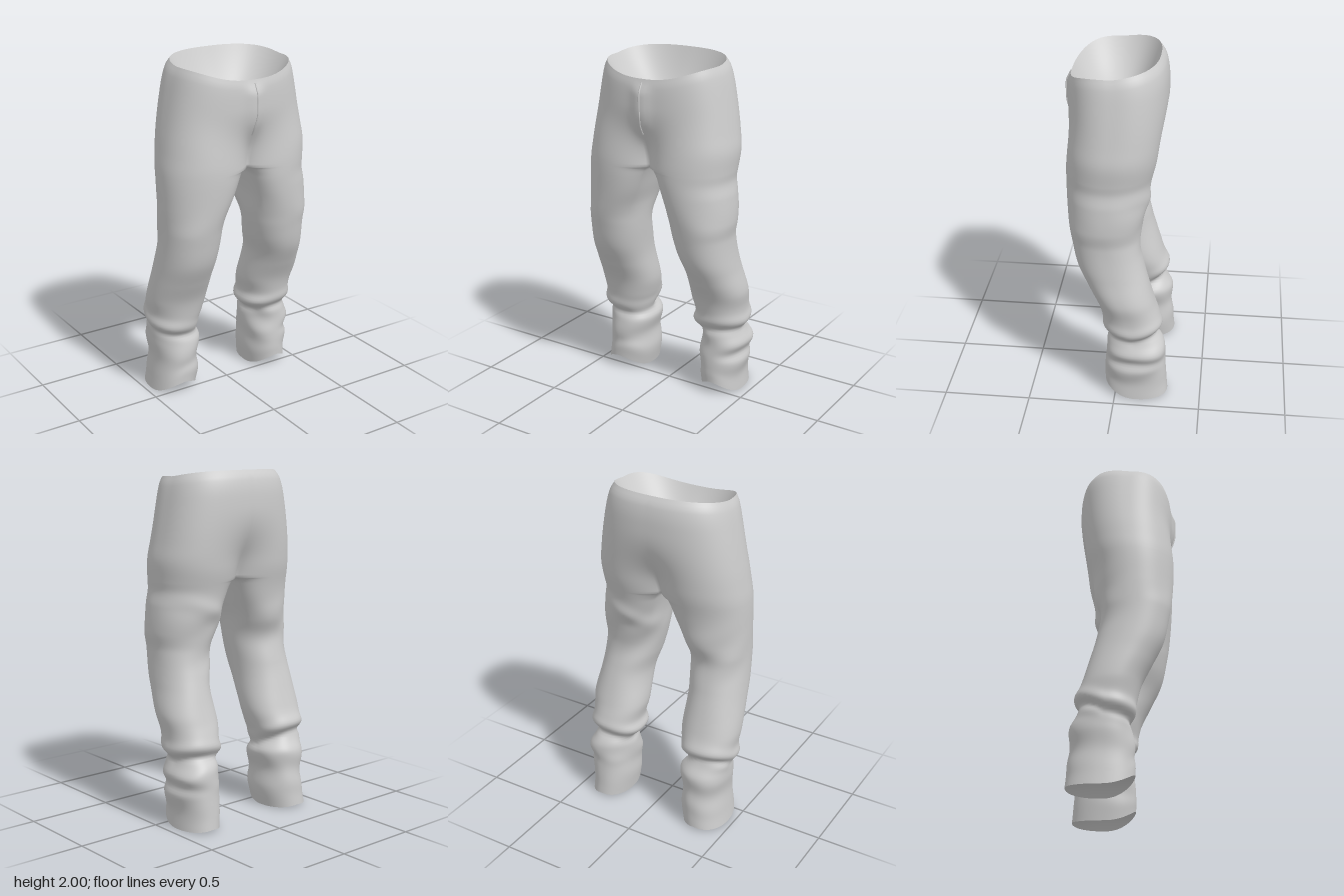
import * as THREE from 'three';
import { mergeVertices } from 'three/addons/utils/BufferGeometryUtils.js';

const CROTCH = 1.39, OUT = 64, IN = 20, SPAN = (141 * Math.PI) / 180;

// Height keys: depth [y, front z, back z] and side outlines [y, x]
const DEPTH = [[1.95, 0.272, -0.214], [1.91, 0.282, -0.242], [1.82, 0.287, -0.26], [1.66, 0.287, -0.257], [1.48, 0.287, -0.222],
  [1.32, 0.287, -0.183], [1.13, 0.272, -0.155], [1, 0.252, -0.128], [0.86, 0.22, -0.155], [0.73, 0.158, -0.19], [0.61, 0.1, -0.225],
  [0.5, 0.072, -0.258], [0.42, 0.055, -0.25], [0.34, 0.05, -0.285], [0.22, 0.06, -0.29], [0.08, 0.064, -0.3], [0.015, 0.062, -0.306]];
const HIPS = [[1.95, 0.338], [1.91, 0.359], [1.8, 0.387], [1.6, 0.428], [1.5, 0.444]];
const OUTER = {
  left: [...HIPS, [1.39, 0.437], [1.33, 0.432], [1.25, 0.447], [1.1, 0.456], [1, 0.443], [0.8, 0.458], [0.65, 0.48], [0.55, 0.467],
    [0.45, 0.462], [0.38, 0.448], [0.31, 0.477], [0.25, 0.447], [0.2, 0.459], [0.1, 0.442], [0.015, 0.445]],
  right: [...HIPS, [1.39, 0.458], [1.2, 0.46], [1, 0.459], [0.8, 0.47], [0.6, 0.484], [0.5, 0.474], [0.42, 0.474], [0.37, 0.457],
    [0.3, 0.455], [0.2, 0.445], [0.1, 0.455], [0.015, 0.465]],
};
const INNER = {
  left: [[1.39, 0], [1.385, 0.018], [1.36, 0.04], [1.33, 0.055], [1.21, 0.08], [1.08, 0.092], [0.92, 0.125], [0.79, 0.158],
    [0.6, 0.15], [0.5, 0.168], [0.44, 0.16], [0.36, 0.198], [0.23, 0.195], [0.1, 0.2], [0.015, 0.21]],
  right: [[1.39, 0], [1.385, 0.018], [1.36, 0.04], [1.235, 0.08], [1.13, 0.11], [0.95, 0.13], [0.79, 0.142], [0.6, 0.138],
    [0.5, 0.158], [0.415, 0.188], [0.34, 0.162], [0.23, 0.188], [0.125, 0.178], [0.015, 0.2]],
};

const { lerp, smoothstep } = THREE.MathUtils;
const bump = (x, c, w) => Math.exp(-(((x - c) / w) ** 2));
const power = (v, e) => Math.sign(v) * Math.abs(v) ** e;

// Smooth (Hermite) lookup in a table sorted from high to low
function look(table, y, col = 1) {
  const n = table.length;
  if (y >= table[0][0]) return table[0][col];
  if (y <= table[n - 1][0]) return table[n - 1][col];
  let i = 0;
  while (table[i + 1][0] > y) i++;
  const slope = (k) => {
    const a = table[Math.max(k - 1, 0)], b = table[Math.min(k + 1, n - 1)];
    return (b[col] - a[col]) / (b[0] - a[0]);
  };
  const a = table[i], b = table[i + 1], h = b[0] - a[0], t = (y - a[0]) / h;
  return (2 * t ** 3 - 3 * t * t + 1) * a[col] + (t ** 3 - 2 * t * t + t) * h * slope(i)
    + (3 * t * t - 2 * t ** 3) * b[col] + (t ** 3 - t * t) * h * slope(i + 1);
}

// Cloth folds: slanted cuff at the ankle, soft diagonal creases behind the thigh and knee
function fold(a, y, side) {
  const left = side === 'left', p = left ? 0.6 : 2.4, back = Math.max(0, -Math.sin(a));
  const ankle = smoothstep(0.55 - y, 0, 0.2) * smoothstep(y, 0.05, 0.2);
  const line = 0.445 + 0.025 * Math.sin(a + p) + 0.05 * back;
  const cuff = 0.011 * bump(y, line, 0.035) - 0.015 * bump(y, line - 0.055, 0.025);
  const bunch = 0.006 * ankle * Math.sin(y * 28 + 2.6 * Math.sin(a + p) + p) * (0.5 + 0.5 * Math.cos(2 * a + p));
  const knee = 0.006 * bump(y, 1.08, 0.16) * back * Math.sin(y * 24 + 3.5 * Math.cos(a + p) + p);
  const thigh = left ? 0.014 * back * bump(y, 1.24 + 0.1 * Math.cos(a), 0.05) : 0;
  return cuff + bunch + knee + thigh;
}

// One point of the half-trouser surface; angle 90 deg is the front
function point(side, a, y) {
  const zf = look(DEPTH, y, 1), zb = look(DEPTH, y, 2), zc = (zf + zb) / 2, hz = (zf - zb) / 2;
  const xo = look(OUTER[side], y), xi = y < CROTCH ? look(INNER[side], y) : 0;
  const c = Math.cos(a), s = Math.sin(a), t = (a * Math.PI) / 2 / SPAN, k = Math.cos(Math.PI - SPAN);
  // hip outline turns into a leg outline towards the crotch
  const toLeg = smoothstep(1.78 - y, 0, 1.78 - CROTCH) ** 1.2;
  const free = smoothstep(CROTCH - y, 0, 0.35);
  const uHip = Math.max(0, Math.cos(t)) ** 0.8, vHip = power(Math.sin(t), 0.8);
  const uSeam = Math.max(0, (c + k) / (1 + k)), uLeg = (power(c, 0.9) + 1) / 2;
  let u = lerp(uSeam, uLeg, free), v = power(s, 0.9);
  if (Math.abs(a) <= SPAN + 1e-6) { u = lerp(uHip, u, toLeg); v = lerp(vHip, v, toLeg); }
  if (Math.abs(Math.abs(a) - SPAN) < 1e-6 && y >= CROTCH) u = 0;
  const f = fold(a, y, side) * smoothstep(CROTCH - y, 0.02, 0.2);
  // slanted waist and arched hem
  const front = Math.sin(t), sides = Math.cos(t) ** 2;
  const waist = smoothstep(y, 1.55, 1.95) * (-0.05 * (front > 0 ? front ** 3 : front) + 0.015 * sides);
  const hem = (1 - smoothstep(y, 0.015, 0.25)) * (0.065 * Math.max(0, s) ** 2 - 0.015 * Math.abs(c));
  // the inner edge moves away from the centre line without dragging the outer cloth along
  const x = xo * u + xi * (1 - u) ** lerp(4, 1, free) + f * c;
  // raised fly along the front centre line
  const fly = s > 0 ? 0.02 * bump(x, 0, 0.05) * smoothstep(y, 1.5, 1.68) * (1 - smoothstep(y, 1.86, 1.94)) : 0;
  return new THREE.Vector3(side === 'left' ? x : -x, y + waist + hem, zc + hz * v + f * s + fly);
}

const outerAngle = (k) => SPAN * (1 - (2 * k) / OUT);
const innerAngle = (k) => -SPAN - (k / IN) * 2 * (Math.PI - SPAN);

function ring(side, y, withInner) {
  const pts = [];
  for (let k = 0; k <= OUT; k++) pts.push(point(side, outerAngle(k), y));
  if (withInner) {
    for (let k = 1; k < IN; k++) pts.push(point(side, innerAngle(k), y));
    pts.push(pts[0].clone());
  }
  return pts;
}

// Skins a stack of equal rings into the shared soup of triangles
function skin(soup, rings, flip) {
  for (let r = 0; r + 1 < rings.length; r++) {
    for (let k = 0; k + 1 < rings[r].length; k++) {
      const a = rings[r][k], b = rings[r][k + 1], c = rings[r + 1][k], d = rings[r + 1][k + 1];
      for (const tri of [[a, c, b], [b, c, d]]) soup.push(...(flip ? tri.reverse() : tri));
    }
  }
}

function smoothMesh(name, soup, material) {
  const geometry = mergeVertices(new THREE.BufferGeometry().setFromPoints(soup), 1e-5);
  geometry.computeVertexNormals();
  const mesh = new THREE.Mesh(geometry, material);
  mesh.name = name;
  return mesh;
}

// Hollow bowl (a paraboloid) that closes an opening
function hollow(edge, depth) {
  const centre = edge.reduce((s, p) => s.add(p), new THREE.Vector3()).divideScalar(edge.length);
  const rings = [];
  for (let i = 0; i <= 18; i++) {
    const r = 1 - i / 18;
    rings.push(edge.map((p) => new THREE.Vector3(
      lerp(centre.x, p.x, r), lerp(centre.y, p.y, r * r) - depth * (1 - r * r), lerp(centre.z, p.z, r))));
  }
  return rings;
}

export function createModel() {
  const group = new THREE.Group();
  group.name = 'trousers';
  const cloth = new THREE.MeshStandardMaterial({ color: 0xcccccc, side: THREE.DoubleSide });

  // Hips and both legs as one smooth skin
  const hipYs = Array.from({ length: 33 }, (_, i) => lerp(1.95, CROTCH, i / 32));
  const legYs = Array.from({ length: 111 }, (_, i) => lerp(CROTCH, 0.015, (i / 110) ** 1.15));
  const soup = [];
  for (const side of ['left', 'right']) {
    const flip = side === 'right';
    skin(soup, hipYs.map((y) => ring(side, y, false)), flip);
    skin(soup, legYs.map((y) => ring(side, y, true)), flip);
  }
  group.add(smoothMesh('trouserCloth', soup, cloth));

  // Waist opening
  const waist = [...ring('left', 1.95, false), ...ring('right', 1.95, false).reverse().slice(1)];
  const waistSoup = [];
  skin(waistSoup, hollow(waist, 0.25), true);
  group.add(smoothMesh('waistLining', waistSoup, cloth));

  // Leg openings
  for (const side of ['left', 'right']) {
    const hemSoup = [];
    skin(hemSoup, hollow(ring(side, 0.015, true), -0.06), side === 'right');
    group.add(smoothMesh(side + 'HemLining', hemSoup, cloth));
  }

  // Stitched seam on the fly
  const path = [1.93, 1.87, 1.8, 1.72, 1.65, 1.59].map((y, i) => {
    const p = point('left', SPAN, y);
    return new THREE.Vector3(i < 4 ? 0.002 : -0.004, p.y, p.z);
  });
  const seam = new THREE.Mesh(new THREE.TubeGeometry(new THREE.CatmullRomCurve3(path), 30, 0.005, 8), cloth);
  seam.name = 'flySeam';
  group.add(seam);
  return group;
}
